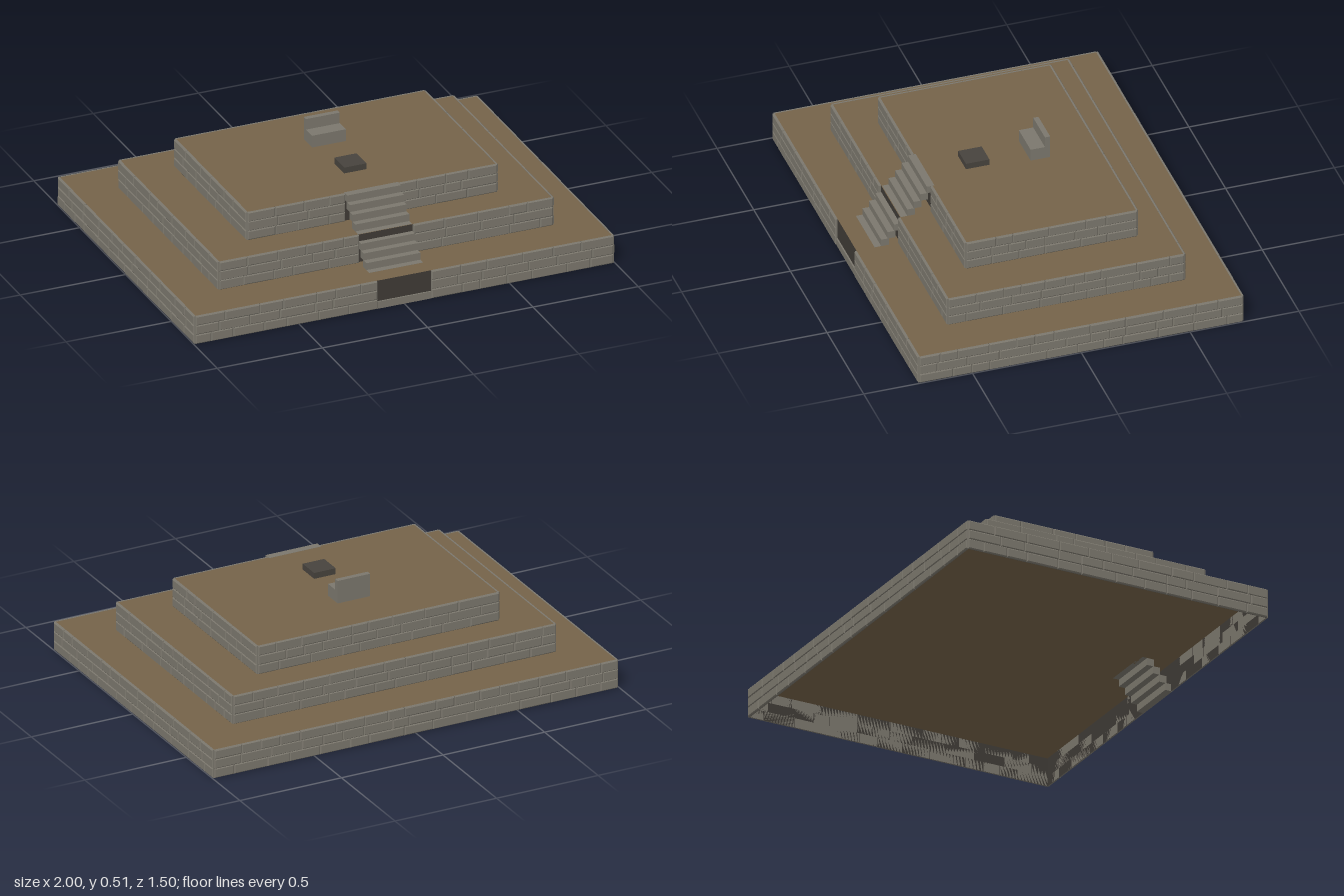
import * as THREE from 'three';
import { mergeGeometries } from 'three/addons/utils/BufferGeometryUtils.js';

const TIER_H = 0.4 / 3, ROWS = 3, STAIR_HALF = 0.128, BRICK_D = 0.011;

export function createModel() {
  const model = new THREE.Group();
  model.name = 'steppedPlatform';

  const mat = (name, color, side = THREE.FrontSide) => {
    const m = new THREE.MeshStandardMaterial({ color, side });
    m.name = name;
    return m;
  };
  const stone = mat('greyStone', 0x7b776d);
  const earth = mat('packedEarth', 0x756349, THREE.DoubleSide);
  const mortar = mat('darkMortar', 0x3f3b36, THREE.DoubleSide);
  const darkStone = mat('darkStone', 0x47433d);

  let seed = 7;
  const rand = () => (seed = (seed * 16807) % 2147483647) / 2147483647;

  const add = (name, geometry, material, parent = model) => {
    const mesh = new THREE.Mesh(geometry, material);
    mesh.name = name;
    parent.add(mesh);
    return mesh;
  };
  // Box given by its lower and upper limits
  const block = (name, x0, x1, y0, y1, z0, z1, material, parent) =>
    add(name, new THREE.BoxGeometry(x1 - x0, y1 - y0, z1 - z0), material, parent)
      .position.set((x0 + x1) / 2, (y0 + y1) / 2, (z0 + z1) / 2);

  // Brick with chamfered outer edges, its back on z = 0
  function brick(x0, x1, y0, y1) {
    const w = x1 - x0, h = y1 - y0;
    const g = new THREE.BoxGeometry(w, h, BRICK_D, 1, 1, 2).toNonIndexed();
    const p = g.attributes.position, inset = 0.003 + rand() * 0.002;
    for (let i = 0; i < p.count; i++) {
      const z = p.getZ(i);
      if (z > 0.001) {
        p.setX(i, p.getX(i) - Math.sign(p.getX(i)) * inset);
        p.setY(i, p.getY(i) - Math.sign(p.getY(i)) * inset);
      } else if (z > -0.001) p.setZ(i, 0.002);
    }
    g.computeVertexNormals();
    return g.translate((x0 + x1) / 2, (y0 + y1) / 2, BRICK_D / 2);
  }

  // Courses of uneven bricks between two x limits
  function courses(x0, x1) {
    const out = [], h = TIER_H / ROWS;
    for (let r = 0; r < ROWS; r++) {
      let x = x0;
      while (x < x1 - 0.001) {
        let end = x + 0.075 + rand() * 0.1;
        if (x1 - end < 0.06) end = x1;
        out.push(brick(x + 0.001, end - 0.001, r * h + 0.0008, (r + 1) * h + 0.0008));
        x = end;
      }
    }
    return out;
  }

  // Three tiers, each with four brick-faced walls and an earth top
  [[1, 0.75], [0.8, 0.55], [0.6, 0.4]].forEach(([hx, hz], t) => {
    const tier = new THREE.Group();
    tier.name = ['lowerTier', 'middleTier', 'upperTier'][t];
    tier.position.y = t * TIER_H;
    model.add(tier);
    const cx = hx - BRICK_D, cz = hz - BRICK_D;

    ['front', 'left', 'back', 'right'].forEach((side, k) => {
      const half = k % 2 ? cz : cx, dist = k % 2 ? cx : cz;
      const wall = new THREE.Group();
      wall.name = side + 'Wall';
      wall.rotation.y = k * Math.PI / 2;
      tier.add(wall);
      add(side + 'Core', new THREE.PlaneGeometry(half * 2, TIER_H), mortar, wall)
        .position.set(0, TIER_H / 2, dist);
      const end = half + 0.004;
      const bricks = k === 0
        ? [...courses(-end, -STAIR_HALF), ...courses(STAIR_HALF, end)]
        : courses(-end, end);
      add(side + 'Bricks', mergeGeometries(bricks), stone, wall).position.z = dist;
    });

    add('earthTop', new THREE.PlaneGeometry(cx * 2, cz * 2).rotateX(-Math.PI / 2), earth, tier)
      .position.y = TIER_H;
  });

  // Stairway cutting through the tiers
  const stairs = new THREE.Group();
  stairs.name = 'stairway';
  model.add(stairs);
  const rise = 0.4 / 12, run = 0.03;
  for (let i = 0; i < 12; i++) {
    const front = 0.746 - i * run;
    block('step', -STAIR_HALF, STAIR_HALF, i * rise, (i + 1) * rise + 0.0006,
      front - 0.035, front, stone, stairs);
  }

  // Stone seat with upright back
  const seat = new THREE.Group();
  seat.name = 'stoneSeat';
  model.add(seat);
  block('seatBase', -0.08, 0.08, 0.4, 0.457, -0.143, -0.077, stone, seat);
  block('seatBack', -0.08, 0.08, 0.4, 0.508, -0.167, -0.143, stone, seat);

  // Low dark slab before the seat
  block('altarSlab', -0.053, 0.053, 0.4, 0.428, 0.103, 0.211, darkStone);

  return model;
}
